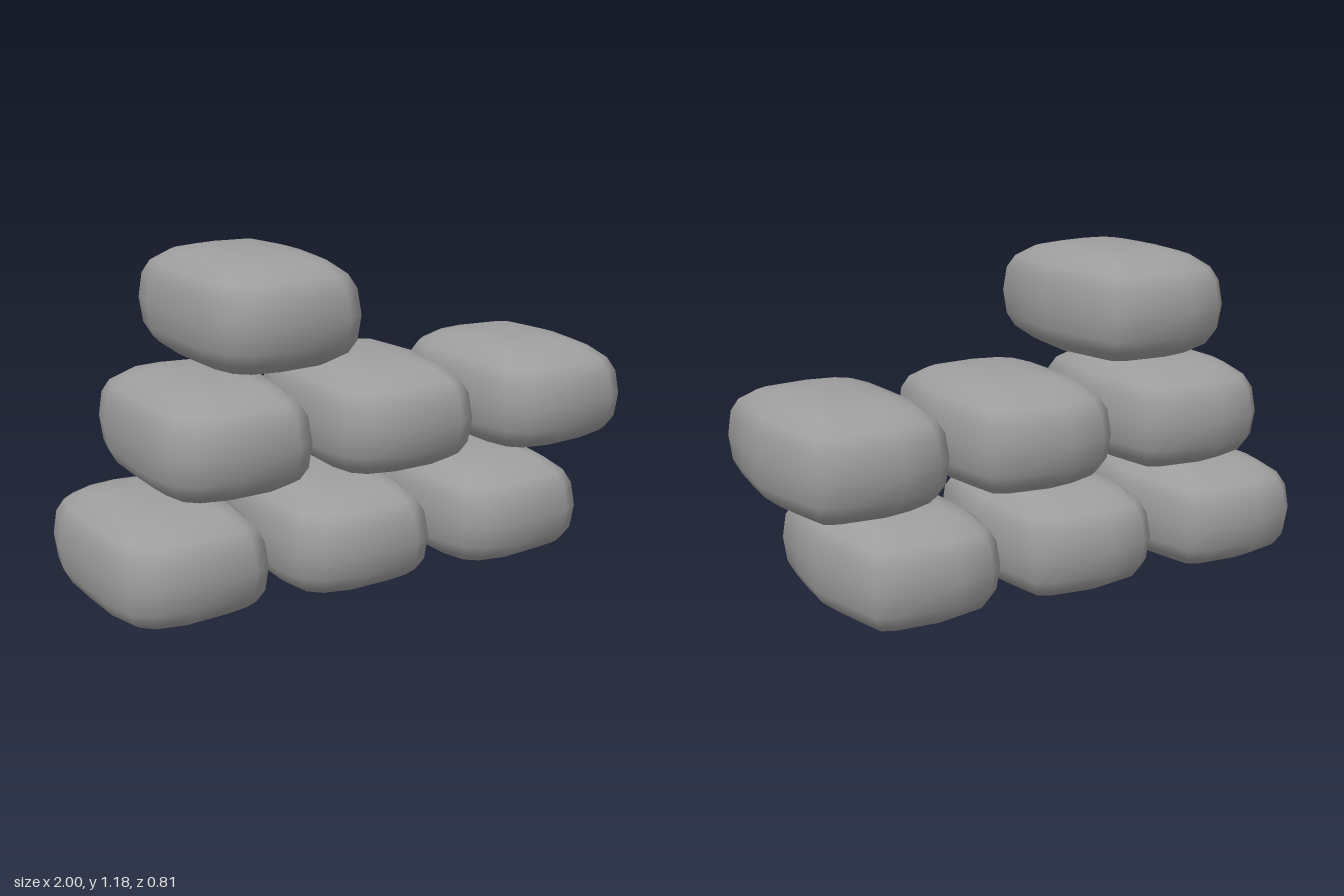
import * as THREE from 'three';

// Plan outline at the widest level, front half (x, z) from left side to right side
const HALF = [[0.283, 0], [0.258, 0.18], [0.23, 0.345], [0.17, 0.378], [-0.05, 0.402], [-0.19, 0.375], [-0.25, 0.32], [-0.28, 0.19]];
const OUTLINE = [...HALF, [-0.283, 0], ...HALF.slice(1).reverse().map(([x, z]) => [x, -z])];

// Side profile: ring scale and height above the seam
const PROFILE = [[1, 0], [0.965, 0.085], [0.885, 0.13], [0.7, 0.17], [0.47, 0.19], [0.2, 0.194]];
const RINGS = [...PROFILE.slice(1).reverse().map(([s, y]) => [s, -y]), ...PROFILE];

// A plump bag lofted from scaled outlines, closed with a point at each end
function bagGeometry() {
  const n = OUTLINE.length, pos = [], idx = [];
  for (const [s, y] of RINGS) for (const [x, z] of OUTLINE) pos.push(x * s, y, z * s);
  const bottom = RINGS.length * n, top = bottom + 1, last = (RINGS.length - 1) * n;
  pos.push(0, -0.195, 0, 0, 0.195, 0);
  for (let j = 0; j < n; j++) {
    const k = (j + 1) % n;
    for (let i = 0; i < RINGS.length - 1; i++) {
      const a = i * n + j, b = i * n + k;
      idx.push(a, a + n, b, b, a + n, b + n);
    }
    idx.push(bottom, j, k, top, last + k, last + j);
  }
  const g = new THREE.BufferGeometry();
  g.setAttribute('position', new THREE.Float32BufferAttribute(pos, 3));
  g.setIndex(idx);
  g.computeVertexNormals();
  return g;
}

export function createModel() {
  const group = new THREE.Group();
  group.name = 'sandbagStack';
  const cloth = new THREE.MeshStandardMaterial({ color: 0x9e9e9e });
  cloth.name = 'greyCloth';
  const geometry = bagGeometry();

  // Staggered rows: centre x and slight turn (radians) of every bag
  const rows = [
    { name: 'bottomRowBag', y: 0.2, bags: [[-0.715, 0.02], [-0.09, -0.03], [0.53, 0.03]] },
    { name: 'middleRowBag', y: 0.595, bags: [[-0.542, -0.02], [0.083, -0.03], [0.715, 0.02]] },
    { name: 'topBag', y: 0.995, bags: [[-0.37, 0.03]] },
  ];
  for (const { name, y, bags } of rows) {
    bags.forEach(([x, turn], i) => {
      const bag = new THREE.Mesh(geometry, cloth);
      bag.name = bags.length > 1 ? name + (i + 1) : name;
      bag.position.set(x, y, 0);
      bag.rotation.y = turn;
      group.add(bag);
    });
  }
  return group;
}
